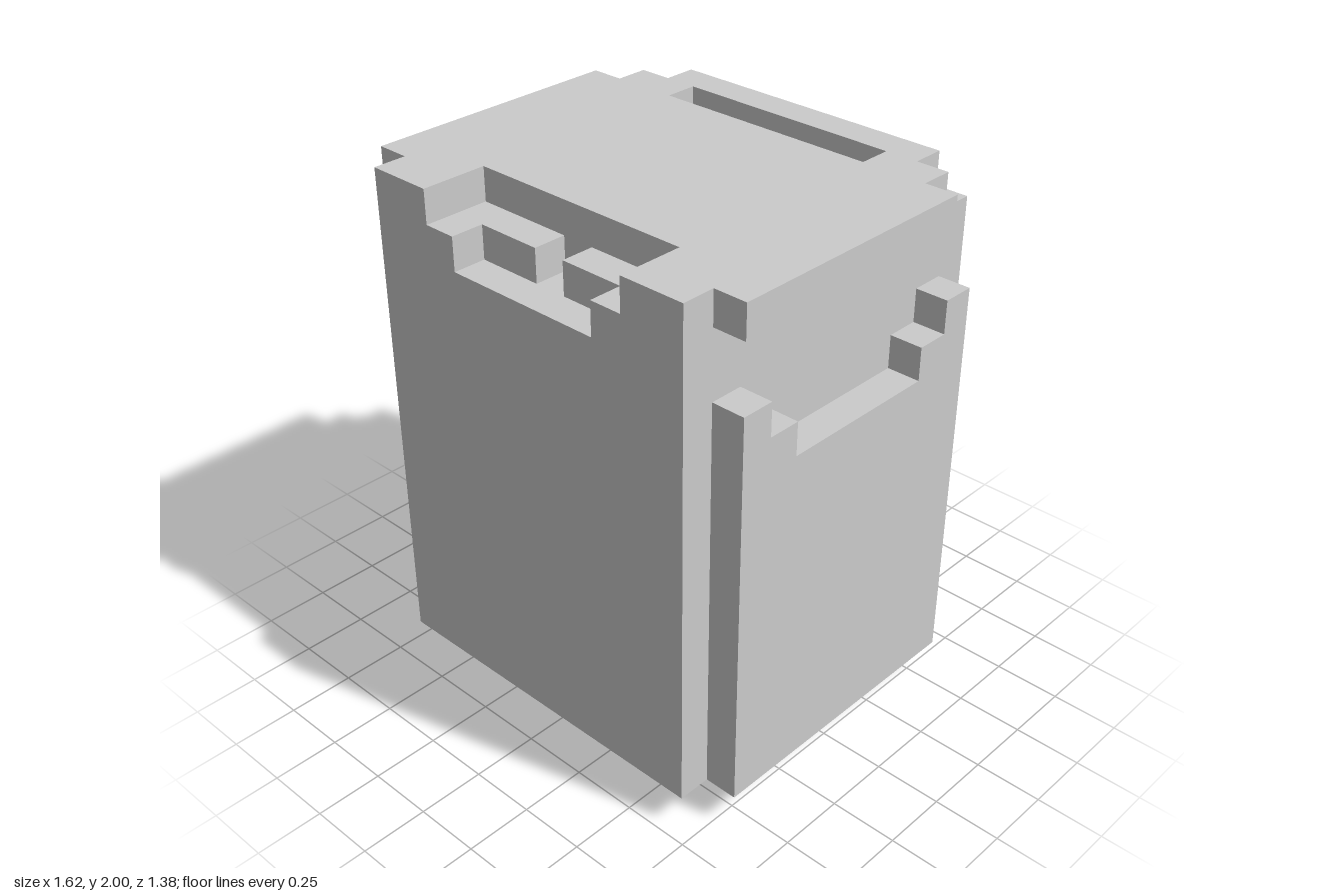
import * as THREE from 'three';

const U = 0.125; // one block; all sizes below are in blocks

export function createModel() {
  const model = new THREE.Group();
  model.name = 'blockContainer';
  const material = new THREE.MeshStandardMaterial({ color: 0xcccccc, flatShading: true });

  const add = (name, geometry) => {
    geometry.scale(U, U, U);
    const mesh = new THREE.Mesh(geometry, material);
    mesh.name = name;
    model.add(mesh);
  };
  const box = (name, [x0, x1], [y0, y1], [z0, z1]) =>
    add(name, new THREE.BoxGeometry(x1 - x0, y1 - y0, z1 - z0)
      .translate((x0 + x1) / 2, (y0 + y1) / 2, (z0 + z1) / 2));
  const outline = (points) => new THREE.Shape(points.map(([a, b]) => new THREE.Vector2(a, b)));
  const extrude = (shape) => new THREE.ExtrudeGeometry(shape, { depth: 1, bevelEnabled: false });

  // One-block-thick slab from the +x half of its (x, z) outline, mirrored
  const slab = (name, top, half, hole) => {
    const mirrored = half.map(([x, z]) => [-x, z]).reverse();
    const shape = outline([...half, ...mirrored]);
    if (hole) shape.holes.push(outline(hole));
    add(name, extrude(shape).rotateX(Math.PI / 2).translate(0, top, 0));
  };

  // Main body and its front and back walls
  box('body', [-5.5, 5.5], [2, 14], [-4.5, 4.5]);
  box('frontWall', [-5.5, 5.5], [1, 14], [4.5, 5.5]);
  box('backWall', [-5.5, 5.5], [1, 15], [-5.5, -4.5]);

  // Layer under the lid, with the T-shaped lower notch at the front
  slab('upperBody', 15, [[5.5, -4.5], [5.5, 5.5], [2.5, 5.5], [2.5, 4.5], [0.5, 4.5], [0.5, 3.5]]);

  // Lid with side overhangs, wide front notch and slot at the back
  slab('lid', 16,
    [[4.5, -5.5], [4.5, -4.5], [5.5, -4.5], [5.5, -3.5], [6.5, -3.5], [6.5, 4.5],
      [5.5, 4.5], [5.5, 5.5], [3.5, 5.5], [3.5, 3.5]],
    [[-3.5, -4.5], [3.5, -4.5], [3.5, -3.5], [-3.5, -3.5]]);

  // Stepped side panels; the right one has a taller back post
  const panel = (name, xMax, backHeight) => {
    const shape = outline([[-4.5, 1], [4.5, 1], [4.5, 13], [3.5, 13], [3.5, 12], [2.5, 12],
      [2.5, 11], [-2.5, 11], [-2.5, 12], [-3.5, 12], [-3.5, backHeight], [-4.5, backHeight]]);
    add(name, extrude(shape).rotateY(-Math.PI / 2).translate(xMax, 0, 0));
  };
  panel('leftPanel', 6.5, 13);
  panel('rightPanel', -5.5, 14);

  // Foot rim around the hollow underside
  for (const s of [-1, 1]) {
    box(s > 0 ? 'leftFoot' : 'rightFoot', [s * 5 - 0.5, s * 5 + 0.5], [0, 2], [-3.5, 3.5]);
    box(s > 0 ? 'frontFoot' : 'backFoot', [-4.5, 4.5], [0, 2], [s * 4 - 0.5, s * 4 + 0.5]);
  }

  return model;
}
